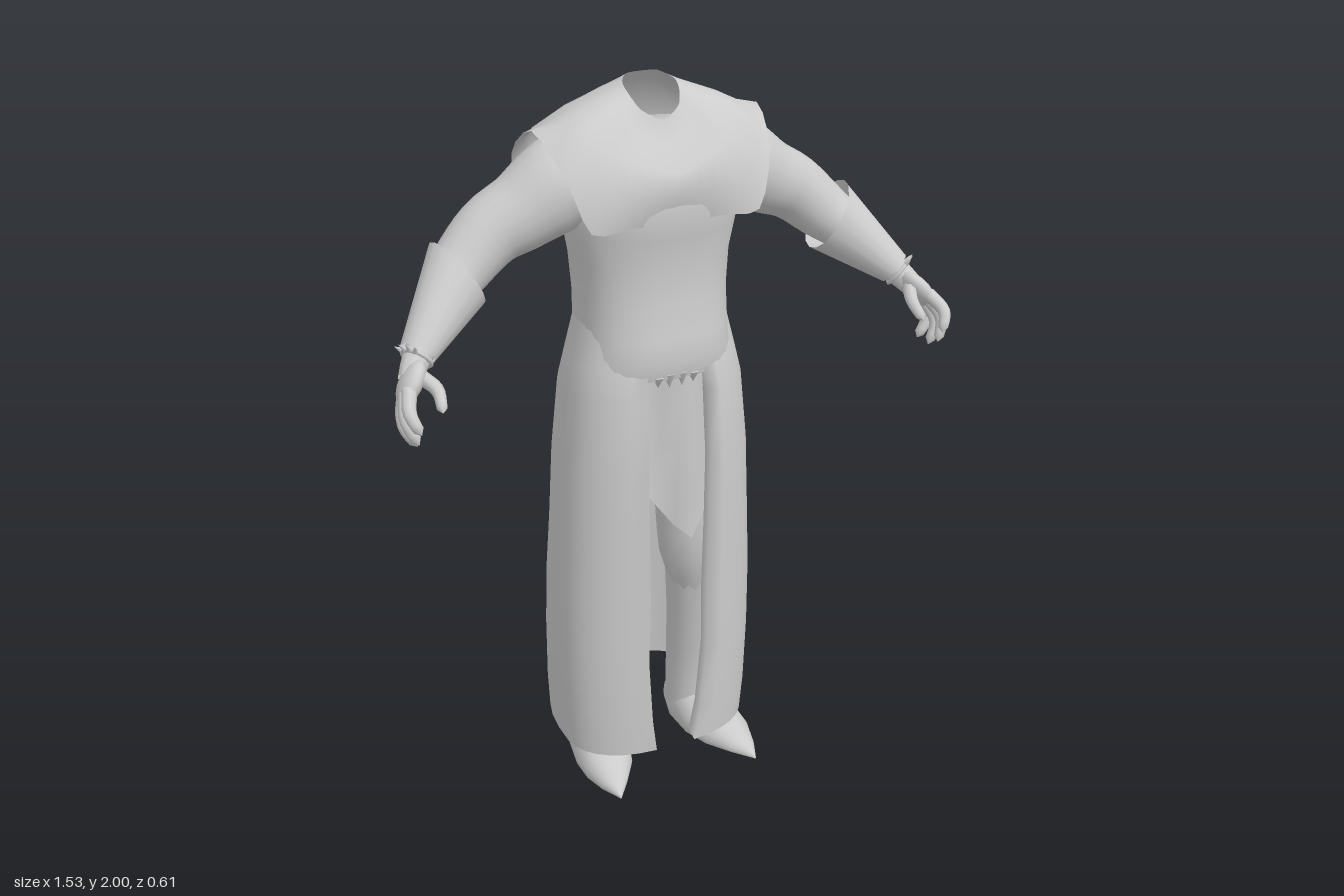
import * as THREE from 'three';

const V = (x, y, z) => new THREE.Vector3(x, y, z);

// Skin a list of point rings (or open rows) into a smooth surface
function loft(rows, closed = true) {
  const n = rows[0].length, pos = [], idx = [];
  rows.forEach(r => r.forEach(p => pos.push(p.x, p.y, p.z)));
  for (let i = 0; i < rows.length - 1; i++) {
    for (let j = 0; j < (closed ? n : n - 1); j++) {
      const a = i * n + j, b = i * n + (j + 1) % n;
      idx.push(a, b, b + n, a, b + n, a + n);
    }
  }
  const g = new THREE.BufferGeometry();
  g.setAttribute('position', new THREE.Float32BufferAttribute(pos, 3));
  g.setIndex(idx);
  g.computeVertexNormals();
  return g;
}

// Circle of points around a centre, facing along an axis
function circle(center, axis, radius, sides = 16) {
  const v = V(0, 0, 1).cross(axis).normalize(), u = v.clone().cross(axis).normalize();
  return Array.from({ length: sides }, (_, j) => {
    const a = j / sides * Math.PI * 2;
    return center.clone().addScaledVector(u, Math.cos(a) * radius).addScaledVector(v, Math.sin(a) * radius);
  });
}

// Tapered tube through [x, y, z, radius] stations
function limb(stations, sides = 12, steps = 12) {
  const curve = new THREE.CatmullRomCurve3(stations.map(s => V(s[0], s[1], s[2])));
  const { normals, binormals } = curve.computeFrenetFrames(steps);
  const rows = [];
  for (let i = 0; i <= steps; i++) {
    const t = curve.getUtoTmapping(i / steps), f = t * (stations.length - 1);
    const k = Math.min(Math.floor(f), stations.length - 2);
    const r = THREE.MathUtils.lerp(stations[k][3], stations[k + 1][3], f - k);
    const c = curve.getPoint(t), row = [];
    for (let j = 0; j < sides; j++) {
      const a = j / sides * Math.PI * 2;
      row.push(c.clone().addScaledVector(normals[i], Math.cos(a) * r)
        .addScaledVector(binormals[i], Math.sin(a) * r));
    }
    rows.push(row);
  }
  return loft(rows);
}

// Point on a rounded body section, angle measured from the front
const POW = 2.5;
function sectionPoint([y, hx, zf, zb], a) {
  const s = Math.sin(a), c = Math.cos(a), e = 2 / POW;
  return V(hx * Math.sign(s) * Math.abs(s) ** e, y, (c > 0 ? zf : zb) * Math.abs(c) ** e);
}

export function createModel() {
  const model = new THREE.Group();
  model.name = 'robedFigure';
  const cloth = new THREE.MeshStandardMaterial({ color: 0xcccccc, side: THREE.DoubleSide });
  cloth.name = 'plain grey';
  const add = (name, geo, parent = model) => {
    const m = new THREE.Mesh(geo, cloth);
    m.name = name;
    parent.add(m);
    return m;
  };

  // Torso: y, half width, front z, back z
  const torso = [
    [1.25, 0.215, 0.172, -0.15], [1.3, 0.208, 0.184, -0.147], [1.36, 0.202, 0.175, -0.148],
    [1.45, 0.2, 0.16, -0.163], [1.55, 0.207, 0.156, -0.175], [1.63, 0.222, 0.168, -0.182],
    [1.7, 0.22, 0.179, -0.182], [1.76, 0.21, 0.168, -0.172], [1.82, 0.19, 0.13, -0.145],
    [1.87, 0.15, 0.07, -0.1], [1.87, 0.0005, 0.0005, -0.0005],
  ];
  add('torso', loft(torso.map(s =>
    Array.from({ length: 32 }, (_, j) => sectionPoint(s, j / 32 * Math.PI * 2)))));

  // Skirt: the same sections left open at the front, with folded-in edges
  const skirt = [
    [0.09, 0.275, 0.186, -0.305, 0.06], [0.2, 0.283, 0.192, -0.294, 0.075],
    [0.4, 0.288, 0.197, -0.27, 0.088], [0.6, 0.286, 0.2, -0.242, 0.085],
    [0.8, 0.276, 0.202, -0.213, 0.088], [1.0, 0.266, 0.202, -0.198, 0.09],
    [1.2, 0.246, 0.19, -0.18, 0.085], [1.28, 0.228, 0.17, -0.162, 0.08],
    [1.39, 0.2, 0.15, -0.146, 0.08],
  ];
  add('skirt', loft(skirt.map(s => {
    const a0 = Math.asin((s[4] / s[1]) ** (POW / 2)), row = [];
    for (let j = 0; j <= 32; j++) {
      row.push(sectionPoint(s, a0 + (Math.PI * 2 - 2 * a0) * j / 32));
    }
    const fold = p => V(p.x * 1.1, p.y, p.z - 0.05);
    return [fold(row[0]), ...row, fold(row[32])];
  }), false));

  // Mantle: columns from front to back, each running from collar to hem
  const columns = [
    [[0, 1.91, 0.085], [0, 1.855, 0.11], [0, 1.8, 0.172], [0, 1.74, 0.186], [0, 1.66, 0.15]],
    [[0.05, 1.935, 0.065], [0.075, 1.885, 0.09], [0.1, 1.83, 0.155], [0.12, 1.76, 0.188], [0.12, 1.675, 0.17]],
    [[0.065, 1.96, 0.04], [0.1, 1.93, 0.065], [0.17, 1.87, 0.12], [0.215, 1.78, 0.165], [0.23, 1.675, 0.168]],
    [[0.07, 1.975, 0.02], [0.11, 1.955, 0.03], [0.19, 1.925, 0.06], [0.25, 1.88, 0.09], [0.278, 1.81, 0.125]],
    [[0.07, 1.985, 0], [0.11, 1.968, -0.01], [0.19, 1.94, -0.01], [0.25, 1.91, -0.01], [0.31, 1.895, -0.01]],
    [[0.06, 1.992, -0.025], [0.1, 1.97, -0.06], [0.19, 1.925, -0.09], [0.265, 1.87, -0.12], [0.305, 1.8, -0.165]],
    [[0.04, 2, -0.043], [0.07, 1.965, -0.09], [0.16, 1.9, -0.14], [0.235, 1.8, -0.18], [0.27, 1.66, -0.19]],
    [[0, 2, -0.05], [0, 1.965, -0.1], [0, 1.9, -0.15], [0, 1.8, -0.195], [0, 1.63, -0.2]],
  ];
  const around = [...columns, ...columns.slice(1, 7).reverse().map(c => c.map(p => [-p[0], p[1], p[2]]))];
  const mantleRows = [4, 3, 2, 1, 0].map(k => {
    const ring = new THREE.CatmullRomCurve3(around.map(c => V(...c[k])), true, 'catmullrom', 0.4);
    return Array.from({ length: 42 }, (_, i) => ring.getPoint(i / 42));
  });
  add('mantle', loft(mantleRows));

  // Loincloth hanging in the skirt opening, with a ragged lower edge
  const hemY = [0.95, 0.9, 0.84, 0.78, 0.74, 0.81];
  add('loincloth', loft([0, 0.25, 0.5, 0.75, 1].map(t => hemY.map((h, j) =>
    V(-0.11 + j * 0.044, THREE.MathUtils.lerp(h, 1.28, t),
      0.125 + 0.02 * t + 0.014 * Math.sin(j * 1.9 + t * 3)))), false));

  // Frayed points under the belly
  [-0.05, -0.018, 0.018, 0.05].forEach((x, i) => {
    const tip = add('frayedPoint', new THREE.ConeGeometry(0.016, i % 3 ? 0.04 : 0.03, 5));
    tip.position.set(x, 1.245, 0.165);
    tip.rotation.x = Math.PI;
  });

  for (const side of [1, -1]) {
    const half = new THREE.Group();
    half.name = side > 0 ? 'leftLimbs' : 'rightLimbs';
    half.scale.x = side;
    model.add(half);

    // Sleeve
    add('sleeve', limb([[0.15, 1.78, -0.01, 0.09], [0.22, 1.765, -0.012, 0.118], [0.28, 1.73, -0.014, 0.113],
      [0.34, 1.695, -0.016, 0.1], [0.42, 1.655, -0.02, 0.09], [0.51, 1.58, 0, 0.078],
      [0.57, 1.53, 0.04, 0.064]], 18, 18), half);

    // Straight flared cuff with a slanted mouth and a lining
    const wristAxis = V(0.6, -0.6, 0.5).normalize(), mouthAxis = V(0.87, -0.5, 0.2).normalize();
    const mouth = circle(V(0.524, 1.569, 0.01), mouthAxis, 0.1);
    const wristEnd = circle(V(0.673, 1.43, 0.13), wristAxis, 0.046);
    add('cuff', loft([mouth, wristEnd]), half);
    add('cuffLining', loft([circle(V(0.565, 1.535, 0.035), mouthAxis, 0.06), mouth]), half);

    // Hand
    add('wrist', limb([[0.63, 1.47, 0.1, 0.04], [0.68, 1.42, 0.14, 0.036], [0.71, 1.385, 0.175, 0.03]], 10, 5), half);
    const palm = add('palm', new THREE.SphereGeometry(1, 14, 10), half);
    const along = V(0.55, -0.65, 0.52).normalize();
    const across = V(0, 0.38, 0.92);
    across.addScaledVector(along, -across.dot(along)).normalize();
    const thick = along.clone().cross(across);
    palm.quaternion.setFromRotationMatrix(new THREE.Matrix4().makeBasis(along, across, thick));
    palm.scale.set(0.062, 0.052, 0.028);
    palm.position.set(0.71, 1.383, 0.185);
    const fingers = [
      [[0.725, 1.38, 0.22], [0.743, 1.345, 0.275], [0.728, 1.305, 0.297]],
      [[0.73, 1.37, 0.205], [0.748, 1.32, 0.257], [0.73, 1.27, 0.277]],
      [[0.73, 1.36, 0.19], [0.748, 1.3, 0.233], [0.725, 1.25, 0.243]],
      [[0.725, 1.355, 0.175], [0.74, 1.3, 0.2], [0.715, 1.257, 0.205]],
      [[0.685, 1.395, 0.19], [0.662, 1.377, 0.24], [0.667, 1.345, 0.285]],
    ];
    fingers.forEach((f, i) => {
      const end = V(...f[2]).addScaledVector(V(...f[2]).sub(V(...f[1])).normalize(), 0.008);
      add(i === 4 ? 'thumb' : 'finger', limb([[...f[0], 0.019], [...f[1], 0.017],
        [...f[2], 0.013], [end.x, end.y, end.z, 0.001]], 8, 9), half);
    });

    // Spiked bracelet
    const bracelet = new THREE.Group();
    bracelet.name = 'bracelet';
    bracelet.position.set(0.678, 1.422, 0.138);
    bracelet.quaternion.setFromUnitVectors(V(0, 0, 1), wristAxis);
    half.add(bracelet);
    add('braceletBand', new THREE.TorusGeometry(0.038, 0.006, 6, 16), bracelet);
    for (let i = 0; i < 4; i++) {
      const a = 0.4 + i * 0.4;
      const spike = add('braceletSpike', new THREE.ConeGeometry(0.008, 0.024, 5), bracelet);
      spike.position.set(Math.cos(a) * 0.05, Math.sin(a) * 0.05, 0);
      spike.rotation.z = a - Math.PI / 2;
    }

    // Leg and tall boot shaft
    add('leg', limb([[0.1, 1.2, 0, 0.1], [0.12, 0.9, 0.01, 0.105], [0.132, 0.65, 0.01, 0.1],
      [0.15, 0.5, 0, 0.07]], 14, 10), half);
    add('bootShaft', limb([[0.15, 0.58, 0, 0.09], [0.155, 0.4, -0.02, 0.08], [0.16, 0.22, -0.045, 0.075],
      [0.163, 0.06, -0.055, 0.073]], 14, 10), half);

    // Pointed shoe: z, centre x, half width, top, bottom
    const shoe = [
      [-0.145, 0.16, 0.002, 0.06, 0.05], [-0.14, 0.16, 0.045, 0.11, 0.005], [-0.05, 0.165, 0.075, 0.13, 0],
      [0.06, 0.177, 0.085, 0.115, 0.008], [0.14, 0.19, 0.072, 0.093, 0.016],
      [0.21, 0.204, 0.04, 0.064, 0.024], [0.275, 0.214, 0.002, 0.042, 0.034],
    ];
    add('shoe', loft(shoe.map(([z, cx, hw, top, bottom]) => Array.from({ length: 16 }, (_, j) => {
      const a = j / 16 * Math.PI * 2, s = Math.sin(a), c = Math.cos(a);
      const mid = bottom + (top - bottom) * 0.3;
      const wide = Math.sign(c) * Math.abs(c) ** (s < 0 ? 0.5 : 1);
      const lift = s > 0 ? s * (top - mid) : -(Math.abs(s) ** 0.5) * (mid - bottom);
      return V(cx + wide * hw, mid + lift, z);
    }))), half);
  }
  return model;
}
